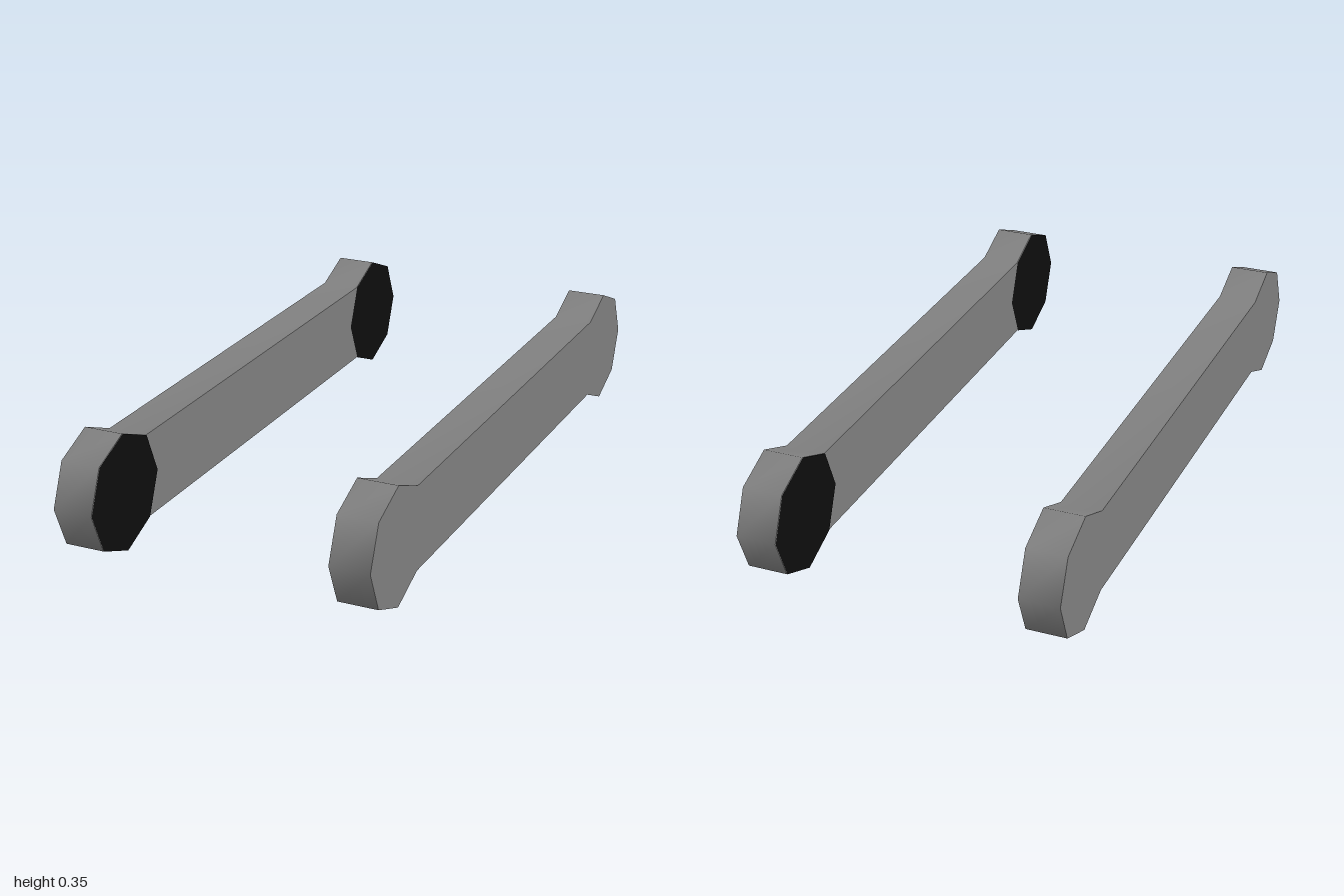
import * as THREE from 'three';
import { toCreasedNormals } from 'three/addons/utils/BufferGeometryUtils.js';

const R = 0.1765;          // radius of the eight-sided ends
const CZ = 1 - R;          // distance of the end centres from the middle
const INNER = 0.353, OUTER = 0.471;

export function createModel() {
  const model = new THREE.Group();
  model.name = 'rodPair';

  const grey = new THREE.MeshStandardMaterial({ color: 0x808080 });
  grey.name = 'grey';
  const black = new THREE.MeshStandardMaterial({ color: 0x0d0d0d });
  black.name = 'black';

  // Side outline: a straight bar running into an octagon at each end
  const outline = [];
  for (const end of [0, 1]) {
    for (let i = -3; i <= 3; i++) {
      const a = end * Math.PI + i * Math.PI / 4;
      outline.push(new THREE.Vector2((end ? -CZ : CZ) + R * Math.cos(a), R + R * Math.sin(a)));
    }
  }
  let rodGeometry = new THREE.ExtrudeGeometry(new THREE.Shape(outline), {
    depth: OUTER - INNER, bevelEnabled: false,
  });
  rodGeometry.translate(0, 0, -(OUTER - INNER) / 2);
  rodGeometry.rotateY(-Math.PI / 2);
  // Smooth round the rim, sharp at the flat faces
  rodGeometry = toCreasedNormals(rodGeometry, Math.PI / 3);

  const padGeometry = new THREE.CircleGeometry(R, 8);

  for (const side of [1, -1]) {
    const arm = new THREE.Group();
    arm.name = side > 0 ? 'leftArm' : 'rightArm';

    const rod = new THREE.Mesh(rodGeometry, grey);
    rod.name = 'rod';
    rod.position.x = side * (INNER + OUTER) / 2;
    arm.add(rod);

    // Dark end faces on the inner side
    for (const end of [1, -1]) {
      const pad = new THREE.Mesh(padGeometry, black);
      pad.name = end > 0 ? 'frontInnerPad' : 'backInnerPad';
      pad.rotation.y = -side * Math.PI / 2;
      pad.position.set(side * (INNER - 0.002), R, end * CZ);
      arm.add(pad);
    }
    model.add(arm);
  }
  return model;
}
